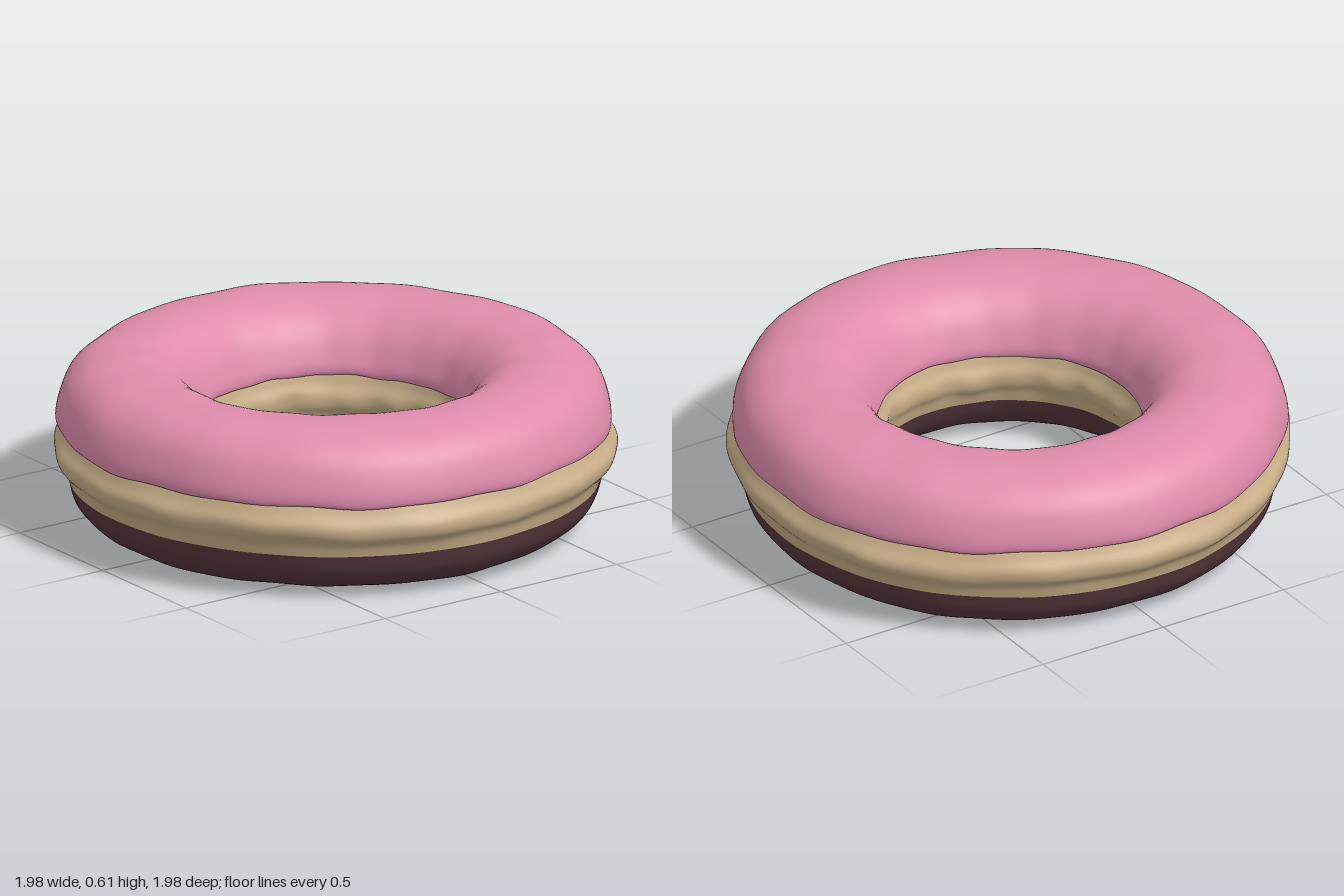
import * as THREE from 'three';

const SEGMENTS = 144; // steps around the ring
const SUB = 4; // steps between profile points

// Closed, smooth ring swept from an (r, y) profile, with a soft hand-made wobble.
function ring(profile, wobble) {
  const curve = new THREE.CatmullRomCurve3(
    profile.map(([r, y]) => new THREE.Vector3(r, y, 0)), true, 'centripetal');
  const rows = profile.length * SUB;
  const positions = [];
  const indices = [];
  for (let j = 0; j < rows; j++) {
    const p = curve.getPoint(j / rows);
    for (let i = 0; i < SEGMENTS; i++) {
      const a = (i / SEGMENTS) * Math.PI * 2;
      const [dr, dy] = wobble(a, p.x, p.y);
      const r = p.x + dr;
      positions.push(r * Math.sin(a), p.y + dy, r * Math.cos(a));
    }
  }
  for (let j = 0; j < rows; j++) {
    const k = (j + 1) % rows;
    for (let i = 0; i < SEGMENTS; i++) {
      const n = (i + 1) % SEGMENTS;
      const a = j * SEGMENTS + i, b = j * SEGMENTS + n;
      const c = k * SEGMENTS + n, d = k * SEGMENTS + i;
      indices.push(a, b, d, b, c, d);
    }
  }
  const geometry = new THREE.BufferGeometry();
  geometry.setAttribute('position', new THREE.Float32BufferAttribute(positions, 3));
  geometry.setIndex(indices);
  geometry.computeVertexNormals();
  return geometry;
}

// Irregular wave around the ring, roughly -1 to 1
const wave = (a, s) =>
  0.4 * Math.sin(5 * a + s) + 0.35 * Math.sin(11 * a + 2.3 * s) + 0.25 * Math.sin(19 * a - 1.7 * s);

export function createModel() {
  const group = new THREE.Group();
  const material = (name, color) => {
    const m = new THREE.MeshStandardMaterial({ color });
    m.name = name;
    return m;
  };
  const chocolate = material('chocolate brown', 0x55363c);
  const dough = material('dough tan', 0xcbb08a);
  const pink = material('icing pink', 0xe08cae);

  // Ring body: chocolate-dipped underside first, then the bare dough
  const dipped = [
    [0.49, 0.175], [0.515, 0.11], [0.565, 0.05], [0.64, 0.015], [0.71, 0.008],
    [0.785, 0.015], [0.87, 0.05], [0.92, 0.105],
  ];
  const bare = [
    [0.94, 0.175], [0.955, 0.22], [0.982, 0.255], [0.988, 0.295], [0.966, 0.335],
    [0.945, 0.38], [0.88, 0.45], [0.71, 0.5], [0.55, 0.45],
    [0.482, 0.38], [0.468, 0.335], [0.452, 0.295], [0.456, 0.255], [0.475, 0.22],
  ];
  const bodyGeometry = ring([...dipped, ...bare], (a, r, y) => {
    const belt = Math.exp(-(((y - 0.28) / 0.055) ** 2));
    const fold = Math.sin(Math.PI * Math.min(1, Math.max(0, (y - 0.175) / 0.2)));
    return [
      (0.004 + 0.007 * belt) * wave(a, 1 + y * 5 + (r > 0.7 ? 0 : 2)),
      0.009 * fold * wave(a, 4 + r) + 0.005 * wave(a, r * 4) * Math.max(0, 1 - y / 0.175),
    ];
  });
  const split = dipped.length * SUB * SEGMENTS * 6;
  bodyGeometry.addGroup(0, split, 0);
  bodyGeometry.addGroup(split, Infinity, 1);
  const body = new THREE.Mesh(bodyGeometry, [chocolate, dough]);
  body.name = 'doughRing';
  group.add(body);

  // Icing cap with a rounded lip that curls back under to the dough
  const icingProfile = [
    [0.9, 0.385], [0.945, 0.363], [0.968, 0.365], [0.975, 0.39], [0.964, 0.45],
    [0.932, 0.52], [0.872, 0.573], [0.79, 0.6], [0.71, 0.606], [0.63, 0.596],
    [0.56, 0.56], [0.505, 0.5], [0.475, 0.435], [0.463, 0.39], [0.468, 0.366],
    [0.485, 0.363], [0.53, 0.385], [0.71, 0.44],
  ];
  const icing = new THREE.Mesh(ring(icingProfile, (a, r, y) => {
    const lip = Math.max(0, 1 - Math.abs(y - 0.365) / 0.1);
    const inner = r < 0.7 ? 1 : 0;
    return [
      0.005 * wave(a, 2 + y * 4 + inner),
      0.008 * lip * wave(a, 5 + inner) + 0.004 * (1 - lip) * wave(a, r * 5),
    ];
  }), pink);
  icing.name = 'icing';
  group.add(icing);

  return group;
}
